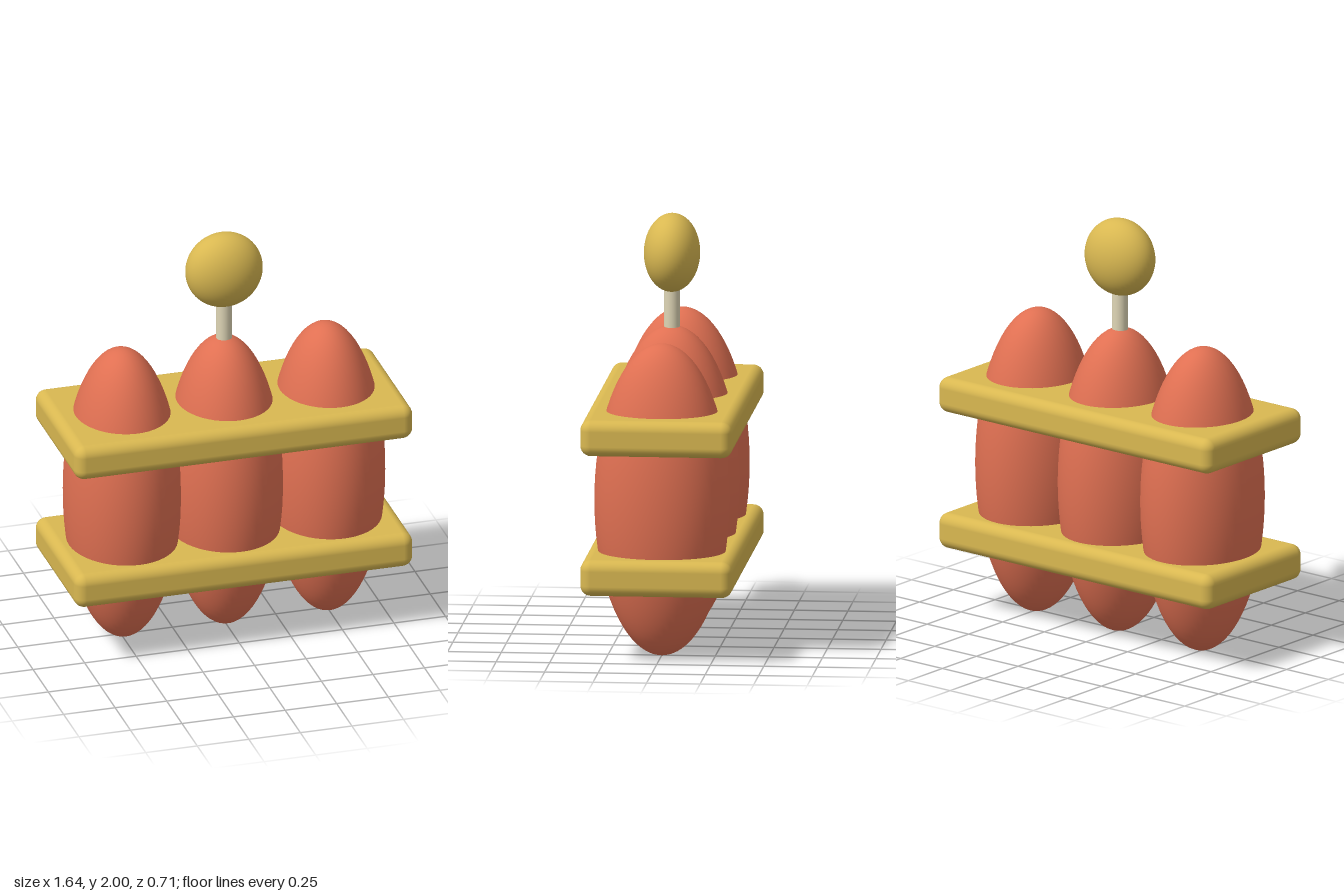
import * as THREE from 'three';
import { RoundedBoxGeometry } from 'three/addons/geometries/RoundedBoxGeometry.js';

const material = (name, color) => {
  const m = new THREE.MeshStandardMaterial({ color });
  m.name = name;
  return m;
};

export function createModel() {
  const coral = material('coral', 0xe07052);
  const gold = material('gold', 0xd9b851);
  const cream = material('cream', 0xdfd6b6);

  const model = new THREE.Group();
  model.name = 'capsuleRack';

  const add = (name, geometry, mat, x, y) => {
    const mesh = new THREE.Mesh(geometry, mat);
    mesh.name = name;
    mesh.position.set(x, y, 0);
    model.add(mesh);
  };

  // Three tall egg-shaped bodies side by side
  const body = new THREE.SphereGeometry(1, 48, 40).scale(0.272, 0.735, 0.315);
  [['rightBody', -0.495], ['centreBody', 0], ['leftBody', 0.495]]
    .forEach(([name, x]) => add(name, body, coral, x, 0.737));

  // Two rounded plates holding the bodies together
  const plate = new RoundedBoxGeometry(1.64, 0.17, 0.71, 4, 0.05);
  add('lowerPlate', plate, gold, 0, 0.41);
  add('upperPlate', plate, gold, 0, 1.07);

  // Stem and flattened knob on the middle body
  add('stem', new THREE.CylinderGeometry(0.037, 0.037, 0.26, 24), cream, 0, 1.54);
  add('knob', new THREE.SphereGeometry(0.184, 48, 32).scale(1, 1, 0.71), gold, 0, 1.816);

  return model;
}
